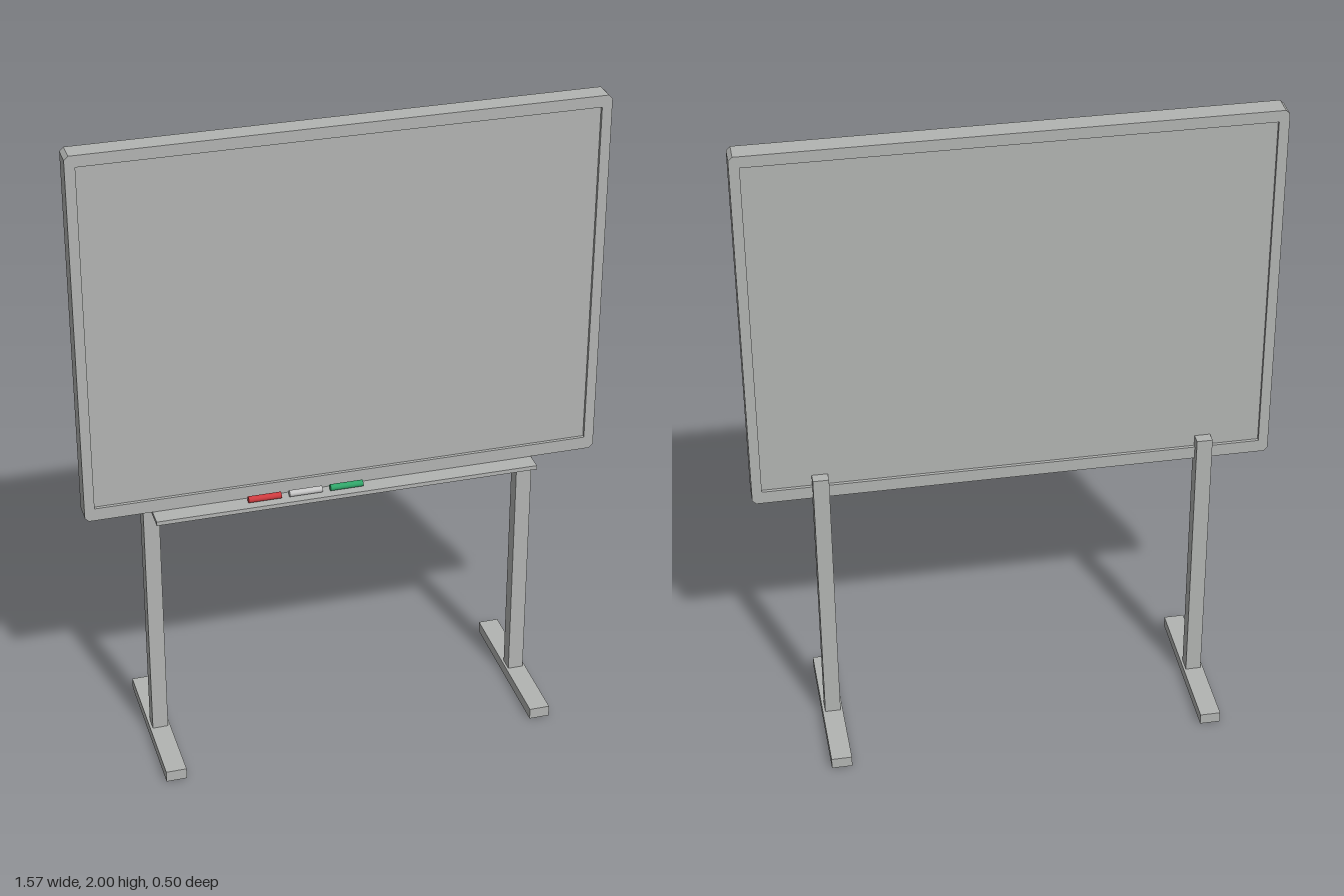
import * as THREE from 'three';

export function createModel() {
  const model = new THREE.Group();
  model.name = 'whiteboard';

  const material = (name, color) => {
    const m = new THREE.MeshStandardMaterial({ color });
    m.name = name;
    return m;
  };
  const grey = material('painted grey', 0xb2b4b2);
  const red = material('marker red', 0xcc3a3e);
  const silver = material('marker silver', 0xc4c4c4);
  const green = material('marker green', 0x2fa468);

  const add = (name, geometry, mat, x = 0, y = 0, z = 0) => {
    const mesh = new THREE.Mesh(geometry, mat);
    mesh.name = name;
    mesh.position.set(x, y, z);
    model.add(mesh);
    return mesh;
  };
  // Box given by its lower and upper limits on each axis
  const box = (name, [x0, x1], [y0, y1], [z0, z1]) =>
    add(name, new THREE.BoxGeometry(x1 - x0, y1 - y0, z1 - z0), grey,
      (x0 + x1) / 2, (y0 + y1) / 2, (z0 + z1) / 2);

  // Frame with clipped corners and a rectangular opening
  const w = 0.785, bottom = 0.845, top = 2, c = 0.012;
  const points = (list) => list.map(([x, y]) => new THREE.Vector2(x, y));
  const outline = new THREE.Shape(points([
    [-w + c, bottom], [w - c, bottom], [w, bottom + c], [w, top - c],
    [w - c, top], [-w + c, top], [-w, top - c], [-w, bottom + c],
  ]));
  outline.holes.push(new THREE.Path(points([
    [-0.755, 0.885], [-0.755, 1.965], [0.755, 1.965], [0.755, 0.885],
  ])));
  add('frame', new THREE.ExtrudeGeometry(outline, { depth: 0.065, bevelEnabled: false }), grey);

  // Writing surface, recessed on both sides
  box('writingPanel', [-0.757, 0.757], [0.883, 1.967], [0.01, 0.055]);

  // Marker tray
  box('tray', [-0.585, 0.585], [0.832, 0.845], [0.05, 0.122]);

  // Posts and floor feet
  for (const [side, s] of [['left', 1], ['right', -1]]) {
    const span = (a, b) => (s > 0 ? [a, b] : [-b, -a]);
    box(side + 'Post', span(0.557, 0.605), [0.035, 0.92], [-0.023, 0.023]);
    box(side + 'Foot', span(0.55, 0.613), [0, 0.035], [-0.25, 0.25]);
  }

  // Markers lying on the tray
  const marker = new THREE.CylinderGeometry(0.01, 0.01, 0.1, 16).rotateZ(Math.PI / 2);
  [['redMarker', red], ['silverMarker', silver], ['greenMarker', green]].forEach(
    ([name, mat], i) => add(name, marker, mat, -0.253 + i * 0.125, 0.855, 0.09));

  return model;
}
